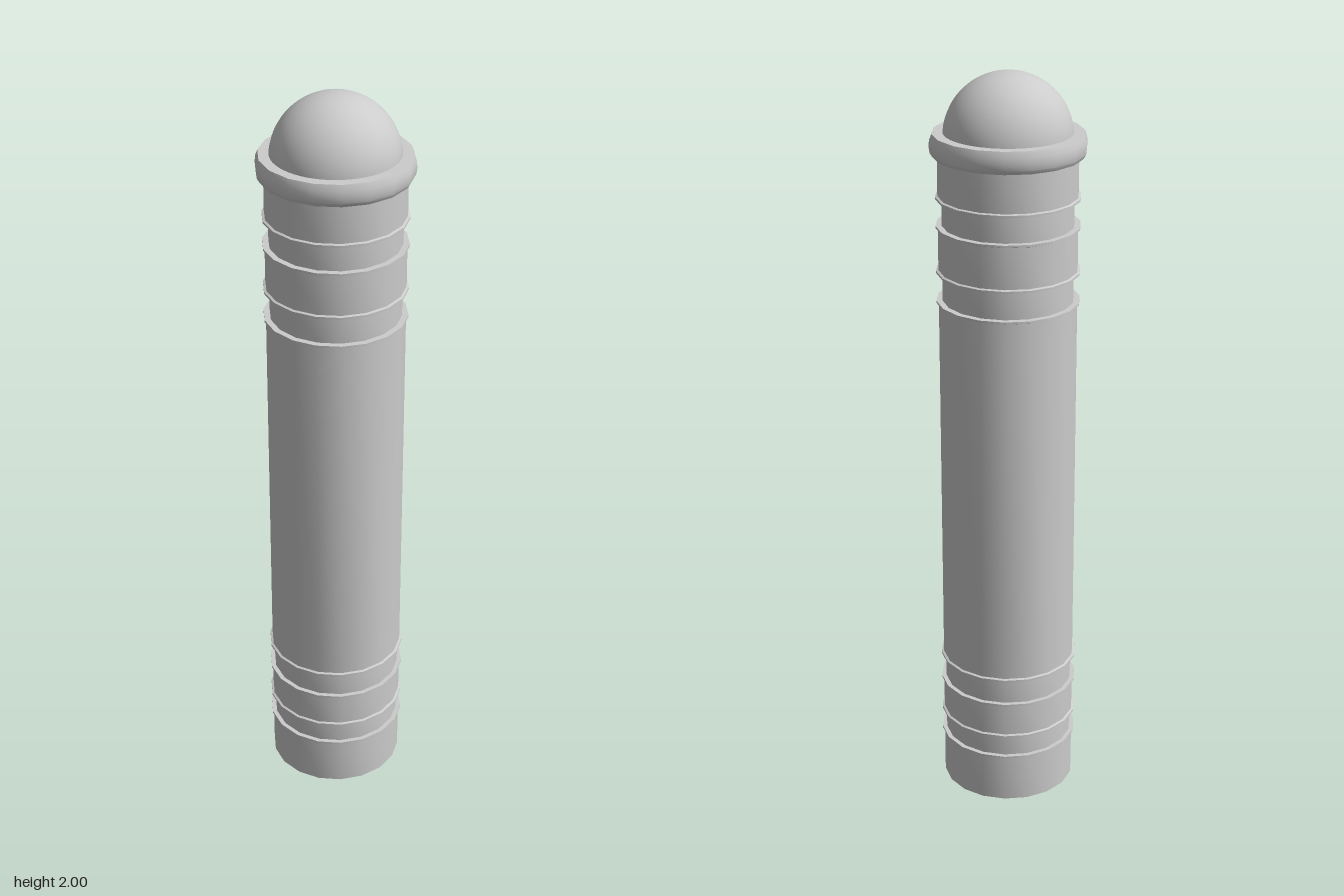
import * as THREE from 'three';
import { toCreasedNormals } from 'three/addons/utils/BufferGeometryUtils.js';

const SIDES = 18;
const R = 0.18;      // post radius
const LIP = 0.186;   // thin raised lip beside each groove
const LIP_H = 0.008;

export function createModel() {
  const group = new THREE.Group();
  const material = new THREE.MeshStandardMaterial({ color: 0xcccccc });

  const add = (name, geometry) => {
    const mesh = new THREE.Mesh(geometry, material);
    mesh.name = name;
    group.add(mesh);
  };

  // Turned part from [radius, height] pairs, listed bottom to top
  const turned = (name, profile) => {
    const points = profile.map(([r, y]) => new THREE.Vector2(r, y));
    const geometry = new THREE.LatheGeometry(points, SIDES, Math.PI / 2);
    add(name, toCreasedNormals(geometry, 0.5));
  };

  // Post: grooves given as [bottom, top, radius], each edged by two lips
  const grooves = [
    [0.14, 0.20, 0.174],
    [0.305, 0.375, 0.174],
    [1.41, 1.485, 0.17],
    [1.61, 1.68, 0.17],
  ];
  const post = [[0, 0], [R, 0]];
  for (const [bottom, top, r] of grooves) {
    post.push(
      [R, bottom - LIP_H], [LIP, bottom - LIP_H * 0.7], [LIP, bottom], [r, bottom],
      [r, top], [LIP, top], [LIP, top + LIP_H * 0.7], [R, top + LIP_H],
    );
  }
  post.push([R, 1.8], [0, 1.8]);
  turned('post', post);

  // Bevelled collar under the dome
  turned('collar', [
    [0, 1.79], [0.192, 1.79], [0.198, 1.8], [0.2, 1.815],
    [0.199, 1.832], [0.193, 1.848], [0, 1.848],
  ]);

  // Rounded cap
  const dome = new THREE.SphereGeometry(0.165, 48, 16, 0, Math.PI * 2, 0, Math.PI / 2);
  dome.translate(0, 1.835, 0);
  add('dome', dome);

  return group;
}
